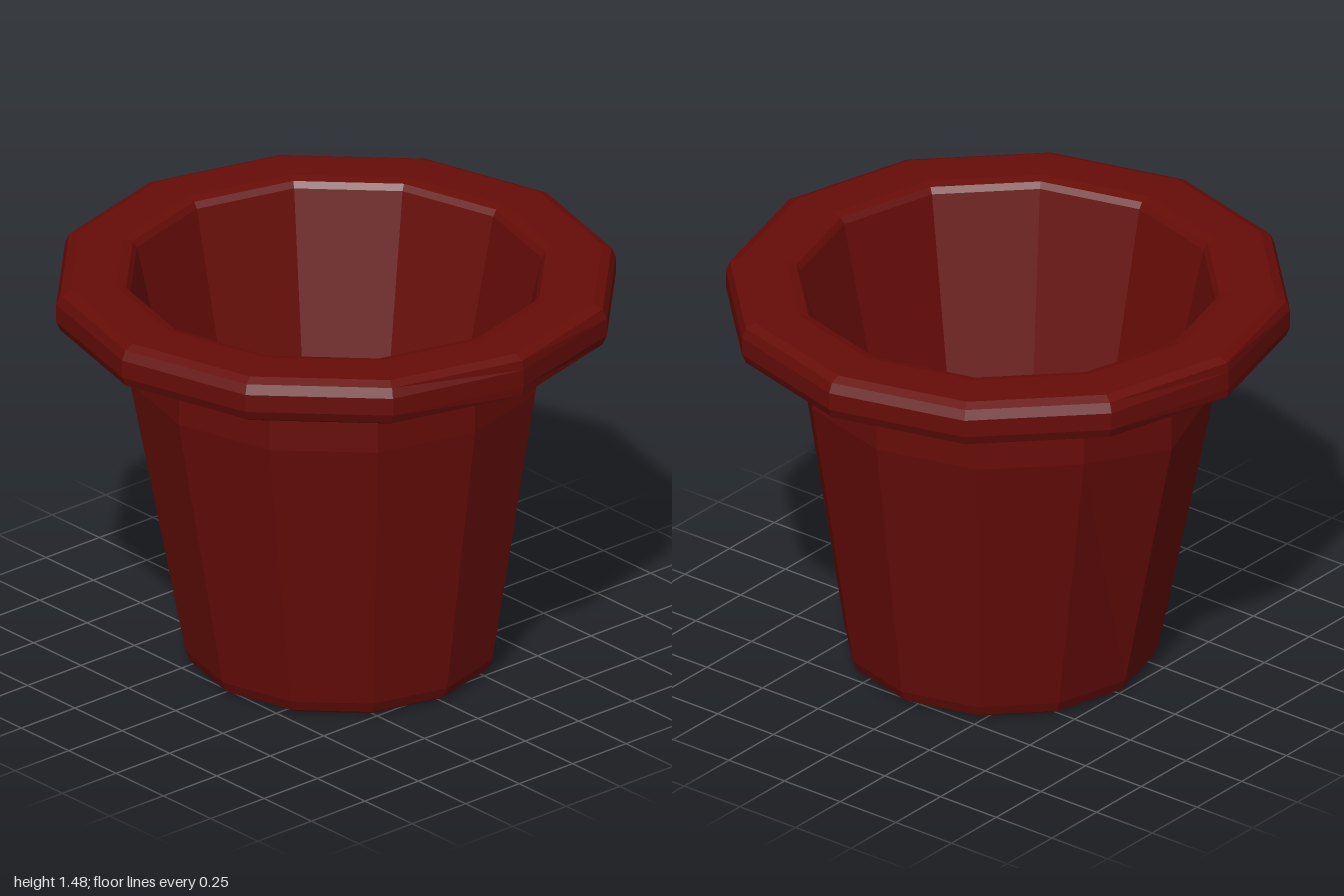
import * as THREE from 'three';

const SIDES = 12;
const SHOULDER_Y = 1.1;

// Outside from the base centre up to the top of the rim
const outer = [
  [0, 0], [0.505, 0], [0.54, 0.02], [0.557, 0.06],      // base bevel
  [0.735, SHOULDER_Y], [0.735, 1.26],                   // tapered wall and collar
  [0.75, 1.295], [0.785, 1.312], [0.95, 1.312],         // fillet and underside of rim
  [0.985, 1.33], [1, 1.365], [1, 1.43], [0.985, 1.465], [0.95, 1.48], // rim edge
];

// Inside from the top of the rim down to the floor centre
const inner = [
  [0.95, 1.48], [0.785, 1.48], [0.75, 1.472], [0.735, 1.45], // lip bevel
  [0.445, 0.17], [0.43, 0.15], [0, 0.15],                    // wall and floor
];

function lathe(name, profile, material) {
  const points = profile.map(([r, y]) => new THREE.Vector2(r, y));
  const mesh = new THREE.Mesh(new THREE.LatheGeometry(points, SIDES), material);
  mesh.name = name;
  return mesh;
}

export function createModel() {
  const material = new THREE.MeshStandardMaterial({ color: 0x660c07, flatShading: true });
  const group = new THREE.Group();
  group.name = 'flowerPot';

  const shell = lathe('outerWallAndRim', outer, material);
  // The foot sits slightly to the left, the shoulder dips on the right,
  // and the side corners of the rim are worn back a little
  const pos = shell.geometry.attributes.position;
  for (let i = 0; i < pos.count; i++) {
    const x = pos.getX(i), y = pos.getY(i);
    if (y < 0.1) pos.setX(i, x + 0.03);
    else if (y === pos.getY(4) && x < -0.7) pos.setY(i, y - 0.06);
    else if (Math.abs(x) > 0.99) pos.setX(i, Math.sign(x) * 0.99);
  }
  shell.geometry.computeVertexNormals();

  group.add(shell, lathe('innerWallAndFloor', inner, material));
  return group;
}
